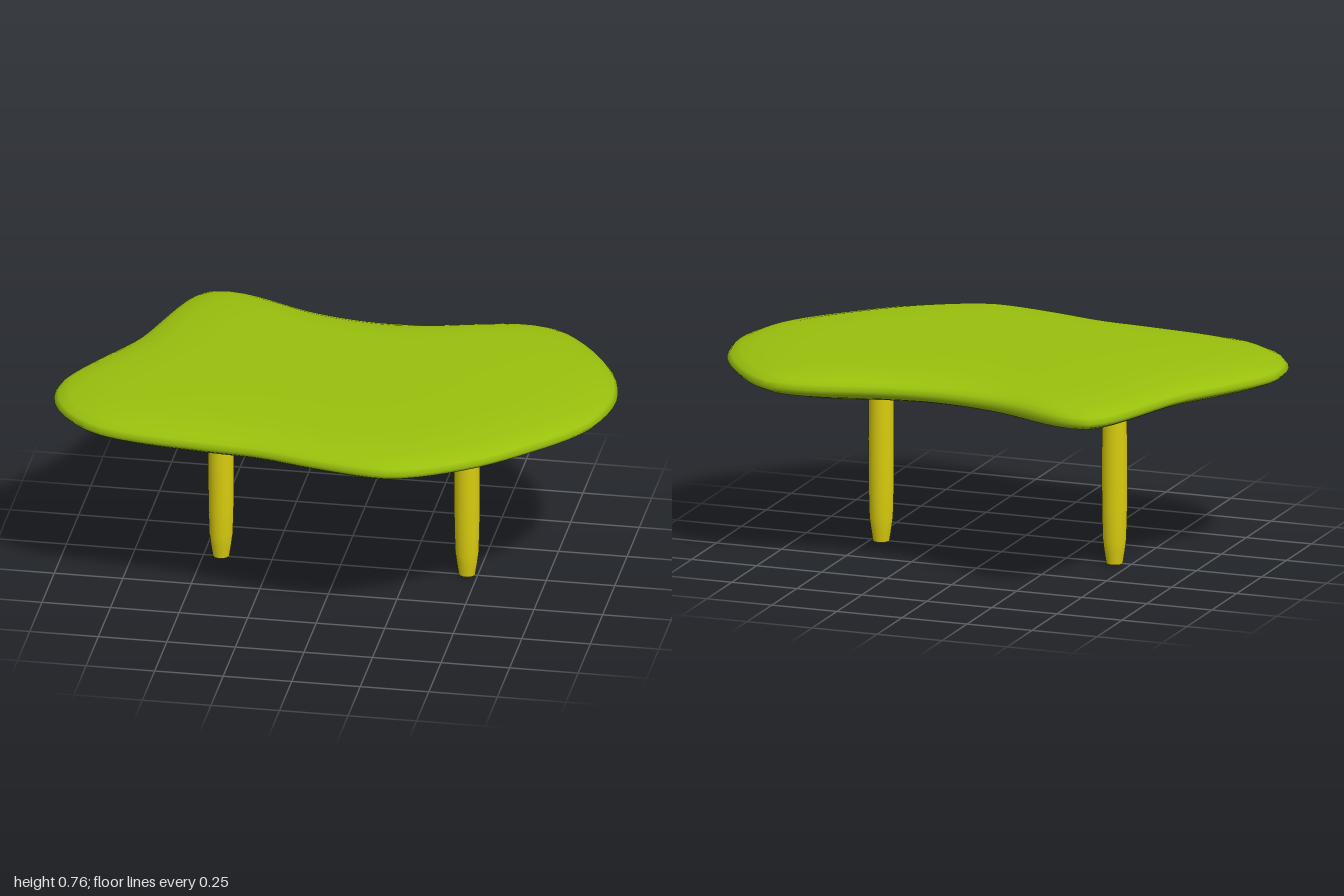
import * as THREE from 'three';

const green = new THREE.MeshStandardMaterial({ color: 0x99c00d });
green.name = 'leaf green';
const yellow = new THREE.MeshStandardMaterial({ color: 0xd9cc0e });
yellow.name = 'mustard yellow';

// Tabletop outline as x, z pairs, clockwise from the back right corner
const outline = [
  [-0.61, -0.70], [-0.53, -0.705], [-0.44, -0.68], [-0.2, -0.575], [0.05, -0.53], [0.25, -0.545],
  [0.5, -0.605], [0.61, -0.615], [0.69, -0.6], [0.78, -0.53], [0.89, -0.39], [0.96, -0.25],
  [0.995, -0.06], [0.96, 0.13], [0.9, 0.24], [0.78, 0.38], [0.6, 0.55], [0.4, 0.67],
  [0.3, 0.7], [0.2, 0.695], [0, 0.655], [-0.2, 0.605], [-0.4, 0.585], [-0.68, 0.55],
  [-0.8, 0.515], [-0.9, 0.445], [-0.965, 0.36], [-1, 0.26], [-1, 0.15], [-0.96, 0.05],
  [-0.9, -0.06], [-0.79, -0.25], [-0.75, -0.37], [-0.7, -0.54], [-0.66, -0.64],
];

// Pebble edge: scale of the outline and height, from top centre to bottom centre
const edge = [
  [0, 0.758], [0.4, 0.758], [0.65, 0.757], [0.78, 0.753], [0.88, 0.745], [0.95, 0.732], [0.985, 0.718],
  [1, 0.7],
  [0.985, 0.684], [0.95, 0.67], [0.88, 0.658], [0.78, 0.65], [0.65, 0.646], [0.4, 0.645], [0, 0.645],
];

function tabletopGeometry() {
  const curve = new THREE.CatmullRomCurve3(outline.map(([x, z]) => new THREE.Vector3(x, 0, z)), true);
  const n = 96;
  const loop = curve.getSpacedPoints(n).slice(0, n);
  const positions = [], index = [];
  edge.forEach(([s, y], k) => {
    loop.forEach((p, i) => {
      positions.push(p.x * s, y, p.z * s);
      if (k === edge.length - 1) return;
      const next = (i + 1) % n;
      const a = k * n + i, b = k * n + next, c = a + n, d = b + n;
      if (k > 0) index.push(a, b, d);
      if (k < edge.length - 2) index.push(a, d, c);
    });
  });
  const geometry = new THREE.BufferGeometry();
  geometry.setAttribute('position', new THREE.Float32BufferAttribute(positions, 3));
  geometry.setIndex(index);
  geometry.computeVertexNormals();
  return geometry;
}

// Turned leg, slightly swollen and tapered at the foot
function legGeometry() {
  const profile = [[0.03, 0], [0.037, 0.045], [0.043, 0.09], [0.046, 0.2], [0.047, 0.38], [0.045, 0.55], [0.042, 0.665]];
  return new THREE.LatheGeometry(profile.map(([r, y]) => new THREE.Vector2(r, y)), 24);
}

export function createModel() {
  const model = new THREE.Group();
  model.name = 'table';

  const top = new THREE.Mesh(tabletopGeometry(), green);
  top.name = 'tabletop';
  model.add(top);

  for (const [name, x] of [['rightLeg', -0.437], ['leftLeg', 0.46]]) {
    const leg = new THREE.Group();
    leg.name = name;
    leg.position.set(x, 0, -0.006);
    const shaft = new THREE.Mesh(legGeometry(), yellow);
    shaft.name = name + 'Shaft';
    const foot = new THREE.Mesh(new THREE.CircleGeometry(0.03, 24), yellow);
    foot.name = name + 'Foot';
    foot.rotation.x = Math.PI / 2;
    leg.add(shaft, foot);
    model.add(leg);
  }
  return model;
}
